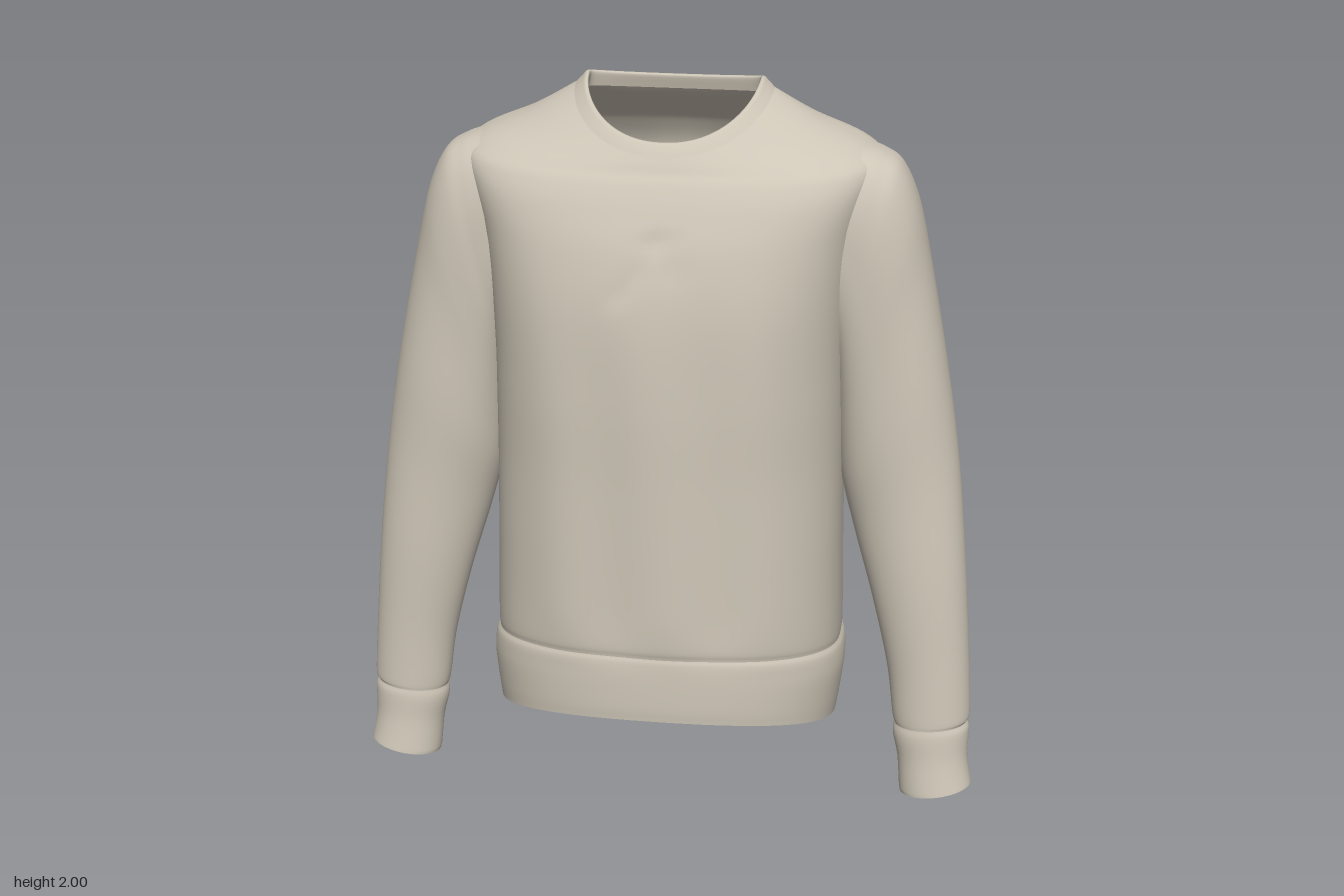
import * as THREE from 'three';

const SEG = 128;

// Smooth, overshoot-free interpolation of a table of cross-section parameters
function refine(rows, steps) {
  const slope = (i, k) => {
    if (i === 0 || i === rows.length - 1) {
      const j = i === 0 ? 0 : i - 1;
      return rows[j + 1][k] - rows[j][k];
    }
    const a = rows[i][k] - rows[i - 1][k], b = rows[i + 1][k] - rows[i][k];
    if (a * b <= 0) return 0;
    return Math.sign(a) * Math.min(Math.abs(a + b) / 2, 3 * Math.abs(a), 3 * Math.abs(b));
  };
  const out = [];
  for (let i = 0; i < rows.length - 1; i++) {
    for (let s = 0; s < steps; s++) {
      const t = s / steps, u = 1 - t;
      out.push(rows[i].map((p, k) => {
        const q = rows[i + 1][k];
        return p * (1 + 2 * t) * u * u + slope(i, k) * t * u * u
          + q * t * t * (3 - 2 * t) - slope(i + 1, k) * t * t * u;
      }));
    }
  }
  out.push(rows[rows.length - 1]);
  return out;
}

// Skin a tube through closed rings, leaving out faces inside an opening
function loft(rows, steps, point, flip, material, name, opening = () => false) {
  const rings = refine(rows, steps), pos = [], idx = [];
  rings.forEach((r) => {
    for (let j = 0; j < SEG; j++) pos.push(...point(r, (j / SEG) * Math.PI * 2));
  });
  for (let i = 0; i < rings.length - 1; i++) {
    for (let j = 0; j < SEG; j++) {
      const a = i * SEG + j, b = i * SEG + (j + 1) % SEG, c = a + SEG, d = b + SEG;
      if (opening(pos[a * 3], pos[a * 3 + 1], pos[a * 3 + 2])) continue;
      if (flip) idx.push(a, b, c, b, d, c);
      else idx.push(a, c, b, b, c, d);
    }
  }
  const geo = new THREE.BufferGeometry();
  geo.setAttribute('position', new THREE.Float32BufferAttribute(pos, 3));
  geo.setIndex(idx);
  geo.computeVertexNormals();
  const mesh = new THREE.Mesh(geo, material);
  mesh.name = name;
  return mesh;
}

// Soft groove along a segment in the x-y plane
function groove(x, y, x0, y0, x1, y1, width) {
  const dx = x1 - x0, dy = y1 - y0;
  const t = Math.min(1, Math.max(0, ((x - x0) * dx + (y - y0) * dy) / (dx * dx + dy * dy)));
  const d = Math.hypot(x - x0 - t * dx, y - y0 - t * dy) / width;
  return Math.exp(-d * d);
}

// Body ring: [halfWidth, sideY, sideZ, frontZ, frontY, backZ, backY, frontPower, backPower]
function bodyPoint([rx, ys, zc, zf, yf, zb, yb, pf, pb], a) {
  const c = Math.cos(a), s = Math.sin(a), front = s > 0, e = 2 / (front ? pf : pb);
  const x = rx * Math.sign(c) * Math.abs(c) ** e;
  const v = Math.abs(s) ** e;
  const y = ys + ((front ? yf : yb) - ys) * v ** 1.4;
  let z = zc + ((front ? zf : zb) - zc) * v;
  // Hanging folds, fading out towards the shoulders and the hem
  const fade = THREE.MathUtils.smoothstep(y, 0.4, 0.6) * (1 - THREE.MathUtils.smoothstep(y, 1.2, 1.7));
  const side = v * v;
  if (front) {
    z += 0.006 * fade * side * Math.sin(x * 21 + y * 1.5);
    z -= 0.008 * side * (groove(x, y, -0.09, 1.49, 0, 1.63, 0.022) + 0.5 * groove(x, y, 0.06, 1.55, 0, 1.64, 0.022));
  } else {
    z += 0.022 * side * Math.exp(-((x / 0.09) ** 2)) * THREE.MathUtils.smoothstep(y, 0.4, 0.7)
      * (1 - THREE.MathUtils.smoothstep(y, 1.6, 1.85));
    z -= 0.006 * fade * side * Math.cos(x * 26);
  }
  return [x, y, z];
}

// Sleeve ring: [outerX, outerY, innerX, innerY, centreZ, halfDepth, power]
const sleevePoint = (mirror, shift) => ([ox, oy, ix, iy, zc, rz, p], a) => {
  const round = (w) => Math.sign(w) * Math.abs(w) ** (2 / p);
  const c = round(Math.cos(a)), s = round(Math.sin(a));
  const y = (oy + iy) / 2 + c * (oy - iy) / 2;
  const drift = shift * (1 - THREE.MathUtils.smoothstep(y, 0, 1.2));
  return [mirror * ((ox + ix) / 2 + c * (ox - ix) / 2), y, zc + drift + s * rz];
};

const armhole = (x, y, z) => Math.abs(x) > 0.4
  && ((y - 1.53) / 0.2) ** 2 + ((z + 0.045) / 0.12) ** 2 < 1;

export function createModel() {
  const group = new THREE.Group();
  group.name = 'sweatshirt';
  const fabric = new THREE.MeshStandardMaterial({ color: 0xcdc5b6, side: THREE.DoubleSide });
  fabric.name = 'beige fabric';

  // Ribbed waistband
  group.add(loft([
    [0.478, 0.208, 0.03, 0.358, 0.288, -0.24, 0.2, 2.25, 2.4],
    [0.488, 0.27, 0.02, 0.36, 0.33, -0.25, 0.26, 2.25, 2.5],
    [0.498, 0.36, 0.01, 0.358, 0.41, -0.305, 0.34, 2.25, 2.7],
    [0.494, 0.405, 0, 0.354, 0.455, -0.332, 0.385, 2.3, 2.8],
    [0.484, 0.425, 0, 0.349, 0.472, -0.333, 0.405, 2.3, 2.9],
  ], 6, bodyPoint, false, fabric, 'waistband'));

  // Torso from the waist seam up over the shoulders, open at the armholes
  group.add(loft([
    [0.484, 0.425, 0, 0.349, 0.472, -0.333, 0.405, 2.3, 2.9],
    [0.486, 0.47, 0, 0.354, 0.52, -0.338, 0.45, 2.3, 2.9],
    [0.482, 0.7, 0, 0.35, 0.72, -0.343, 0.7, 2.3, 3],
    [0.48, 0.95, -0.01, 0.345, 0.95, -0.35, 0.95, 2.3, 3.1],
    [0.48, 1.2, -0.02, 0.34, 1.2, -0.355, 1.2, 2.4, 3.2],
    [0.49, 1.43, -0.03, 0.325, 1.43, -0.353, 1.43, 2.5, 3.3],
    [0.512, 1.6, -0.04, 0.292, 1.59, -0.346, 1.62, 2.6, 3.2],
    [0.545, 1.72, -0.05, 0.25, 1.7, -0.322, 1.74, 2.7, 2.9],
    [0.565, 1.79, -0.055, 0.218, 1.765, -0.28, 1.82, 2.5, 2.6],
    [0.53, 1.835, -0.06, 0.197, 1.795, -0.24, 1.867, 2.3, 2.5],
    [0.4, 1.893, -0.07, 0.185, 1.817, -0.198, 1.915, 2.25, 2.5],
    [0.268, 1.97, -0.083, 0.174, 1.835, -0.168, 1.953, 2.2, 2.6],
  ], 7, bodyPoint, false, fabric, 'torso', armhole));

  // Neck rib, rolled over to the inside
  group.add(loft([
    [0.268, 1.97, -0.083, 0.174, 1.835, -0.168, 1.953, 2.2, 2.6],
    [0.252, 1.987, -0.085, 0.163, 1.852, -0.157, 1.971, 2.2, 2.6],
    [0.238, 2, -0.085, 0.148, 1.868, -0.143, 1.985, 2.2, 2.6],
    [0.231, 1.993, -0.083, 0.138, 1.866, -0.133, 1.98, 2.2, 2.7],
    [0.238, 1.955, -0.083, 0.148, 1.835, -0.142, 1.945, 2.2, 2.7],
  ], 4, bodyPoint, false, fabric, 'collar'));

  // Sleeves and cuffs; the right arm hangs slightly further back
  const sleeve = [
    [0.515, 1.842, 0.44, 1.33, -0.05, 0.175, 2.5],
    [0.57, 1.822, 0.45, 1.26, -0.05, 0.174, 2.5],
    [0.62, 1.787, 0.456, 1.18, -0.045, 0.17, 2.4],
    [0.665, 1.69, 0.46, 1.1, -0.04, 0.163, 2.3],
    [0.702, 1.53, 0.465, 1.0, -0.035, 0.155, 2.2],
    [0.756, 1.25, 0.478, 0.9, -0.02, 0.142, 2.1],
    [0.8, 0.97, 0.515, 0.76, -0.005, 0.126, 2],
    [0.83, 0.68, 0.575, 0.56, 0.025, 0.107, 2],
    [0.85, 0.42, 0.622, 0.37, 0.045, 0.093, 2],
    [0.86, 0.24, 0.642, 0.23, 0.06, 0.086, 2],
    [0.852, 0.215, 0.65, 0.2, 0.065, 0.081, 2],
  ];
  const cuff = [
    [0.852, 0.215, 0.65, 0.2, 0.065, 0.081, 2],
    [0.86, 0.19, 0.646, 0.175, 0.068, 0.084, 2],
    [0.858, 0.12, 0.662, 0.1, 0.078, 0.08, 2],
    [0.872, 0.035, 0.672, 0, 0.09, 0.085, 2],
    [0.864, 0.035, 0.68, 0.003, 0.09, 0.079, 2],
  ];
  for (const [side, mirror, shift] of [['left', 1, 0.005], ['right', -1, -0.04]]) {
    const point = sleevePoint(mirror, shift);
    group.add(loft(sleeve, 7, point, mirror > 0, fabric, side + 'Sleeve'));
    group.add(loft(cuff, 4, point, mirror > 0, fabric, side + 'Cuff'));
  }
  return group;
}
